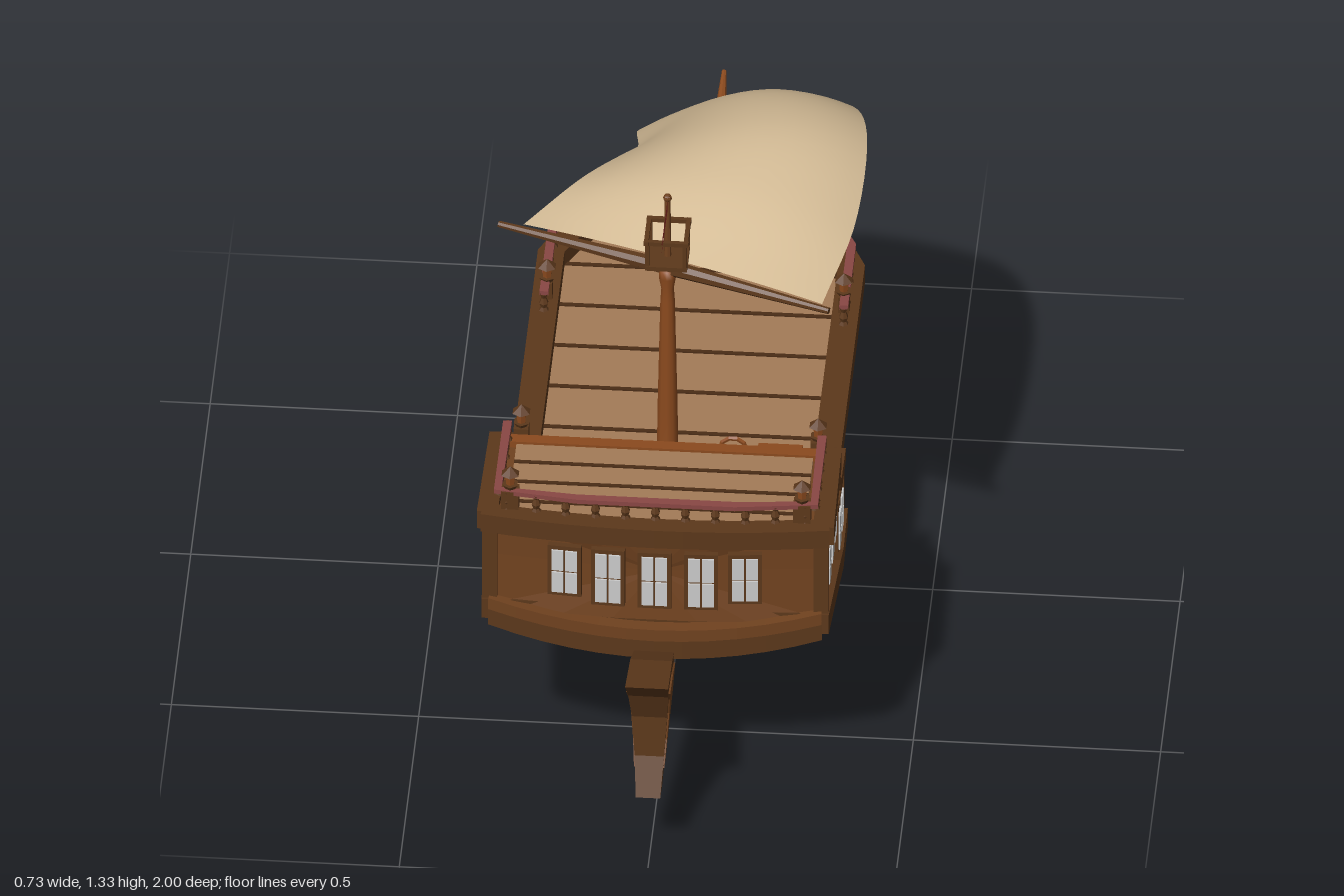
import * as THREE from 'three';

const V = (x, y, z) => new THREE.Vector3(x, y, z);
const mat = (color, flatShading = true) => new THREE.MeshStandardMaterial({ color, flatShading, side: THREE.DoubleSide });
const M = {
  hull: mat(0x8b4a1e), dark: mat(0x5c381b), mid: mat(0x70421f), deck: mat(0xa47c58), rail: mat(0x8a4744),
  sail: mat(0xdcc39c, false), mast: mat(0x8b4a1e, false), glass: mat(0xcccccc), seam: mat(0x4a2c16), flag: mat(0x9c2f2a),
};

// Skin closed rings of [x, y, z] points and cap both ends
function loft(rings) {
  const n = rings[0].length, pos = [];
  const tri = (a, b, c) => pos.push(...a, ...b, ...c);
  for (let i = 0; i < rings.length - 1; i++) for (let j = 0; j < n; j++) {
    const k = (j + 1) % n, A = rings[i], B = rings[i + 1];
    tri(A[j], A[k], B[k]);
    tri(A[j], B[k], B[j]);
  }
  const first = rings[0], last = rings[rings.length - 1];
  const mean = r => [0, 1, 2].map(a => r.reduce((s, p) => s + p[a], 0) / n);
  for (let j = 0; j < n; j++) {
    const k = (j + 1) % n;
    tri(mean(first), first[k], first[j]);
    tri(mean(last), last[j], last[k]);
  }
  // turn the skin outward when its signed volume is negative
  let vol = 0;
  for (let i = 0; i < pos.length; i += 9) {
    const [a, b, c] = [0, 3, 6].map(o => V(pos[i + o], pos[i + o + 1], pos[i + o + 2]));
    vol += a.dot(b.cross(c));
  }
  if (vol < 0) for (let i = 0; i < pos.length; i += 9) for (let d = 0; d < 3; d++) {
    [pos[i + 3 + d], pos[i + 6 + d]] = [pos[i + 6 + d], pos[i + 3 + d]];
  }
  const g = new THREE.BufferGeometry();
  g.setAttribute('position', new THREE.Float32BufferAttribute(pos, 3));
  g.computeVertexNormals();
  return g;
}

// Rectangular bar following a path
function sweep(pts, hw, hh) {
  return loft(pts.map((p, i) => {
    const a = pts[Math.max(i - 1, 0)], b = pts[Math.min(i + 1, pts.length - 1)];
    const s = V(b[2] - a[2], 0, a[0] - b[0]).normalize().multiplyScalar(hw);
    return [[1, 1], [-1, 1], [-1, -1], [1, -1]].map(([u, v]) => [p[0] + s.x * u, p[1] + hh * v, p[2] + s.z * u]);
  }));
}
const mirrorPath = half => [...half, ...half.map(([x, y, z]) => [-x, y, z]).reverse()];
const flip = pts => pts.map(([x, y, z]) => [-x, y, z]);

export function createModel() {
  const ship = new THREE.Group();
  ship.name = 'sailingShip';
  const add = (name, geo, m, x = 0, y = 0, z = 0, parent = ship) => {
    const o = new THREE.Mesh(geo, m);
    o.name = name;
    o.position.set(x, y, z);
    parent.add(o);
    return o;
  };
  const box = (name, w, h, d, m, x, y, z, parent) => add(name, new THREE.BoxGeometry(w, h, d), m, x, y, z, parent);
  const rod = (name, a, b, r0, r1, m, sides = 8) => {
    const d = b.clone().sub(a), o = add(name, new THREE.CylinderGeometry(r1, r0, d.length(), sides), m);
    o.position.copy(a).addScaledVector(d, 0.5);
    o.quaternion.setFromUnitVectors(V(0, 1, 0), d.normalize());
    return o;
  };

  // Lower hull: z, half width, keel height
  const stations = [[.62, .045, .29], [.55, .065, .275], [.49, .13, .245], [.4, .2, .2], [.25, .25, .14], [.1, .27, .1], [-.1, .275, .086],
    [-.28, .268, .11], [-.39, .24, .155], [-.46, .2, .215], [-.5, .15, .32], [-.56, .1, .37]];
  const section = [[.33, 0], [.66, .16], [.88, .46], [1, 1]];
  add('hull', loft(stations.map(([z, w, b]) =>
    mirrorPath(section.map(([u, v]) => [u * w, b + v * (.44 - b), z])))), M.hull);
  add('sternPost', loft([[.28, .05, .6], [.36, .04, .6], [.46, .075, .61]].map(([y, w, z]) =>
    [[w, y, z + .03], [-w, y, z + .03], [-w, y, z - .06], [w, y, z - .06]])), M.hull);

  // Side belt, gunwale and main deck share one plan outline
  const plan = [[.33, .44], [.33, -.43], [.285, -.52], [.23, -.585], [.13, -.64]];
  const ring = (k, kz, y) => mirrorPath(plan.map(([x, z]) => [x * k, y, z > 0 ? z : z * kz]));
  add('sideBelt', loft([ring(.86, .8, .35), ring(.9, .88, .375), ring(.96, .93, .45)]), M.dark);
  add('mainDeck', loft([ring(.94, .95, .45), ring(.94, .95, .465)]), M.deck);
  add('gunwale', sweep(ring(.92, .955, .478), .027, .023), M.dark);
  const halfWidth = z => {
    for (let i = 1; i < plan.length; i++) if (z >= plan[i][1]) {
      const [a, b] = [plan[i - 1], plan[i]];
      return b[0] + (a[0] - b[0]) * (z - b[1]) / (a[1] - b[1]);
    }
    return .13;
  };
  for (let z = .26; z > -.58; z -= .135) box('deckSeam', halfWidth(z) * 1.76, .004, .009, M.seam, 0, .466, z);

  // Stern castle: rounded side sections, back wall bowed outward
  const bow = (x, w) => .028 * (1 - (x / w) ** 2);
  const castle = (list, m) => loft(list.map(([z, yb, yt, w, curve]) => mirrorPath(
    [[.25, yb], [.55, yb], [.93, yb + .01], [1, .5 * (yb + yt) + .02], [.95, yt], [.55, yt], [.25, yt]]
      .map(([u, y]) => [u * w, y, z + (curve ? bow(u, 1) : 0)]))));
  add('quarterDeckHouse', castle([[.37, .445, .6, .345], [.53, .45, .6, .345]]), M.mid);
  add('poopHouse', castle([[.51, .45, .72, .345], [.6, .475, .72, .345], [.765, .5, .72, .34, true]]), M.mid);
  add('sternCounter', loft([[.42, .27, .37, .46], [.6, .25, .41, .49], [.7, .29, .45, .51], [.775, .32, .48, .52]].map(([z, w, a, b]) =>
    [[w, b, z], [w, a + .02, z], [w * .4, a - .01, z], [-w * .4, a - .01, z], [-w, a + .02, z], [-w, b, z]])), M.dark);
  box('quarterDeck', .62, .012, .15, M.deck, 0, .603, .44);
  box('poopDeck', .6, .012, .255, M.deck, 0, .723, .645);
  for (const z of [.59, .655, .72]) box('poopSeam', .6, .004, .008, M.seam, 0, .73, z);

  // Mouldings round the castle
  const arc = (y, sag, z, w) => Array.from({ length: 13 }, (_, i) => {
    const x = w - i * w / 6;
    return [x, y - sag * (1 - (x / w) ** 2), z + bow(x, w)];
  });
  add('sternTopMoulding', sweep(arc(.72, 0, .765, .35), .02, .022), M.dark);
  add('sternSill', sweep(arc(.515, .04, .77, .335), .014, .014), M.mid);
  add('sternLowerBand', sweep(arc(.485, .045, .765, .335), .017, .024), M.dark);
  box('poopFrontBeam', .64, .035, .025, M.hull, 0, .717, .518);
  box('quarterFrontBeam', .64, .02, .022, M.hull, 0, .6, .367);

  // Window with a frame and separate panes, facing +z in its own group
  const windowAt = (x, y, z, ry, w, h, rows = 2) => {
    const g = new THREE.Group();
    g.name = 'window';
    g.position.set(x, y, z);
    g.rotation.y = ry;
    ship.add(g);
    box('windowFrame', w + .012, h + .014, .012, M.dark, 0, 0, 0, g);
    for (const s of [-1, 1]) for (let r = 0; r < rows; r++)
      box('pane', w / 2 - .004, h / rows - .005, .008, M.glass, s * w / 4, (r - (rows - 1) / 2) * h / rows, .006, g);
  };
  for (const x of [-.182, -.094, 0, .094, .182])
    windowAt(x, .605 + (Math.abs(x) > .15 ? .008 : 0), .766 + bow(x, .34), x * .45, .056, Math.abs(x) > .15 ? .11 : .125);

  const lantern = (x, y, z) => {
    const g = new THREE.Group();
    g.name = 'lantern';
    g.position.set(x, y, z);
    ship.add(g);
    add('lanternBase', new THREE.CylinderGeometry(.017, .01, .012, 6), M.dark, 0, .006, 0, g);
    add('lanternGlass', new THREE.CylinderGeometry(.011, .009, .026, 6), M.hull, 0, .024, 0, g);
    add('lanternRoof', new THREE.ConeGeometry(.02, .018, 6), M.dark, 0, .046, 0, g);
  };
  const railing = (pts, height, gap) => {
    add('handRail', sweep(pts.map(([x, y, z]) => [x, y + height, z]), .009, .005), M.rail);
    const path = new THREE.CurvePath();
    for (let i = 1; i < pts.length; i++) path.add(new THREE.LineCurve3(V(...pts[i - 1]), V(...pts[i])));
    const n = Math.round(path.getLength() / gap);
    const shape = [[.011, 0], [.006, .2], [.01, .45], [.005, .75], [.009, 1]].map(([r, t]) => new THREE.Vector2(r, t * height));
    for (let i = 0; i <= n; i++) {
      const p = path.getPointAt(i / n);
      add('baluster', new THREE.LatheGeometry(shape, 6), M.dark, p.x, p.y, p.z);
    }
  };
  railing(mirrorPath([[.318, .74, .53], [.32, .74, .755], [.16, .74, .772]]), .042, .062);
  railing(mirrorPath([[.303, .5, -.215], [.303, .5, -.42], [.262, .5, -.5], [.21, .5, -.56], [.12, .5, -.61]]), .042, .07);

  // Parts repeated on both sides
  const finSections = [[.42, .24, .3, -.09, -.27], [.35, .235, .295, -.11, -.275], [.2, .212, .272, -.05, -.225],
    [.1, .175, .228, .005, -.175], [.02, .148, .182, .07, -.115]];
  for (const s of [1, -1]) {
    const side = pts => s > 0 ? pts : flip(pts);
    add('sideFin', loft(finSections.map(([y, a, b, z0, z1], i) => {
      const d = i === 4 ? .018 : 0; // slanted tip
      return [[s * a, y - d, z0], [s * b, y - d, z0], [s * b, y + d, z1], [s * a, y + d, z1]];
    })), M.dark);
    add('sideTopMoulding', sweep(side([[.335, .72, .51], [.34, .72, .775]]), .021, .022), M.dark);
    add('stepMoulding', sweep(side([[.335, .7, .525], [.335, .645, .5], [.335, .62, .47], [.335, .615, .365]]), .018, .016), M.dark);
    add('sideLowerBand', sweep(side([[.338, .455, .365], [.34, .455, .5], [.34, .48, .57], [.332, .5, .78]]), .019, .024), M.dark);
    for (const z of [.37, .525]) box('cornerPost', .03, .15, .02, M.dark, s * .335, .535, z);
    box('sternCornerPost', .03, .2, .02, M.dark, s * .335, .61, .765);
    for (const z of [.725, .655, .585]) windowAt(s * .341, .618, z, s * Math.PI / 2, .046, .09);
    for (const z of [.493, .433]) windowAt(s * .343, .527, z, s * Math.PI / 2, .04, .09);
    windowAt(s * .298, .402, -.28, s * Math.PI / 2, .05, .046, 1);
    for (const [x, y, z] of [[.295, .785, .75], [.3, .675, .4], [.3, .54, -.26], [.205, .54, -.57]]) lantern(s * x, y, z);
    box('lanternPost', .035, .05, .03, M.dark, s * .295, .76, .75);
    box('lanternPost', .03, .055, .03, M.dark, s * .3, .65, .4);
    for (const z of [-.26, -.57]) box('lanternPost', .022, .04, .022, M.dark, s * (z < -.5 ? .205 : .3), .52, z);
    // portholes in both front walls
    for (const [x, y, z] of [[.12, .53, .367], [.1, .66, .508], [.22, .66, .508]])
      add('porthole', new THREE.CylinderGeometry(.016, .016, .012, 8).rotateX(Math.PI / 2), M.glass, s * x, y, z);
  }

  // Door, stairs and furniture
  box('doorFrame', .085, .12, .012, M.dark, 0, .525, .366);
  box('door', .062, .105, .012, M.deck, 0, .52, .362);
  for (let i = 0; i < 6; i++) box('stair', .09, .012, .024, M.hull, .22, .49 + i * .025, .29 + i * .014);
  box('chartTable', .08, .01, .055, M.dark, -.18, .66, .455).rotation.y = .4;
  box('tableLeg', .025, .05, .025, M.dark, -.18, .632, .455);
  add('barrel', new THREE.CylinderGeometry(.02, .02, .05, 8), M.hull, -.25, .635, .48);
  box('wheelStand', .02, .05, .02, M.dark, .13, .632, .44);
  add('steeringWheel', new THREE.TorusGeometry(.026, .005, 5, 10), M.hull, .13, .665, .427);

  // Mast, crow's nest and flag
  const mastProfile = [[.03, .6], [.03, .64], [.022, .66], [.021, .78], [.015, 1.06], [.013, 1.09], [.018, 1.12], [.018, 1.14], [.001, 1.145]];
  add('mast', new THREE.LatheGeometry(mastProfile.map(p => new THREE.Vector2(...p)), 10), M.mast, 0, 0, .46);
  rod('topMast', V(0, 1.13, .46), V(0, 1.325, .46), .008, .006, M.mid);
  box('nestFloor', .085, .01, .085, M.dark, 0, 1.168, .46);
  for (const a of [-1, 1]) {
    for (const b of [-1, 1]) box('nestPost', .008, .065, .008, M.dark, a * .038, 1.2, .46 + b * .038);
    box('nestRail', .009, .009, .09, M.dark, a * .04, 1.232, .46);
    box('nestRail', .09, .009, .009, M.dark, 0, 1.232, .46 + a * .04);
  }
  add('mastCap', new THREE.SphereGeometry(.009, 8, 6), M.mid, 0, 1.318, .46);
  const flag = new THREE.Shape([[0, -.014], [.07, -.01], [.15, -.008], [.11, .003], [.16, .016], [.07, .012], [0, .014]].map(p => new THREE.Vector2(...p)));
  add('flag', new THREE.ShapeGeometry(flag), M.flag, 0, 1.3, .465).rotation.y = -Math.PI / 2;

  // Slanting yard, thick in the middle
  const mid = V(-.005, 1.14, .455);
  for (const e of [V(-.35, 1.143, .345), V(.335, 1.135, .57)]) rod('yard', mid, e, .017, .007, M.dark);

  // Billowing sail between left, middle and right curves
  const curves = [
    [[-.3, 1.145, .345], [-.2, 1.125, .16], [-.125, 1.05, -.03], [-.115, .905, -.24], [-.13, .75, -.5], [-.06, .57, -.67], [0, .475, -.745]],
    [[.01, 1.155, .45], [.1, 1.185, .22], [.13, 1.165, 0], [.1, 1.055, -.24], [.035, .82, -.5], [.005, .6, -.67], [0, .472, -.745]],
    [[.32, 1.14, .555], [.365, 1.135, .28], [.365, 1.12, -.03], [.32, 1.035, -.24], [.19, .8, -.5], [.075, .59, -.68], [0, .47, -.745]],
  ].map(c => new THREE.CatmullRomCurve3(c.map(p => V(...p))));
  const sail = new THREE.PlaneGeometry(1, 1, 16, 32), sp = sail.attributes.position, uv = sail.attributes.uv;
  for (let i = 0; i < sp.count; i++) {
    const u = uv.getX(i), [l, m, r] = curves.map(c => c.getPoint(1 - uv.getY(i)));
    const p = l.multiplyScalar((1 - u) * (1 - 2 * u)).addScaledVector(m, 4 * u * (1 - u)).addScaledVector(r, u * (2 * u - 1));
    sp.setXYZ(i, p.x, p.y, p.z);
  }
  sail.computeVertexNormals();
  add('sail', sail, M.sail);

  // Bowsprit
  rod('bowsprit', V(0, .395, -.52), V(0, .525, -1), .036, .005, M.hull);
  box('bowspritCollar', .09, .07, .05, M.dark, 0, .425, -.615);

  // Rudder with tapered width, inset panels and hinges
  const rud = [[1, .485], [.88, .465], [.735, .4], [.755, .31], [.84, .25], [.905, .17], [.965, .18], [.93, .26], [.925, .355], [.955, .43]];
  const blade = (k, t) => {
    const shape = new THREE.Shape(rud.map(([z, y]) => new THREE.Vector2(.87 + (z - .87) * k, .35 + (y - .35) * k)));
    const g = new THREE.ExtrudeGeometry(shape, { depth: 2 * t, bevelEnabled: false }).translate(0, 0, -t).rotateY(-Math.PI / 2);
    const p = g.attributes.position;
    for (let i = 0; i < p.count; i++) p.setX(i, p.getX(i) * (.55 + (p.getY(i) - .17) * 1.4));
    g.computeVertexNormals();
    return g;
  };
  add('rudder', blade(1, .044), M.dark);
  add('rudderPanel', blade(.68, .048), M.mid);
  for (const y of [.335, .395]) box('rudderHinge', .04, .022, .1, M.dark, 0, y, .7);
  rod('hingePin', V(0, .3, .705), V(0, .415, .705), .016, .016, M.hull);
  box('rudderStock', .03, .03, .14, M.hull, 0, .37, .67);
  return ship;
}
